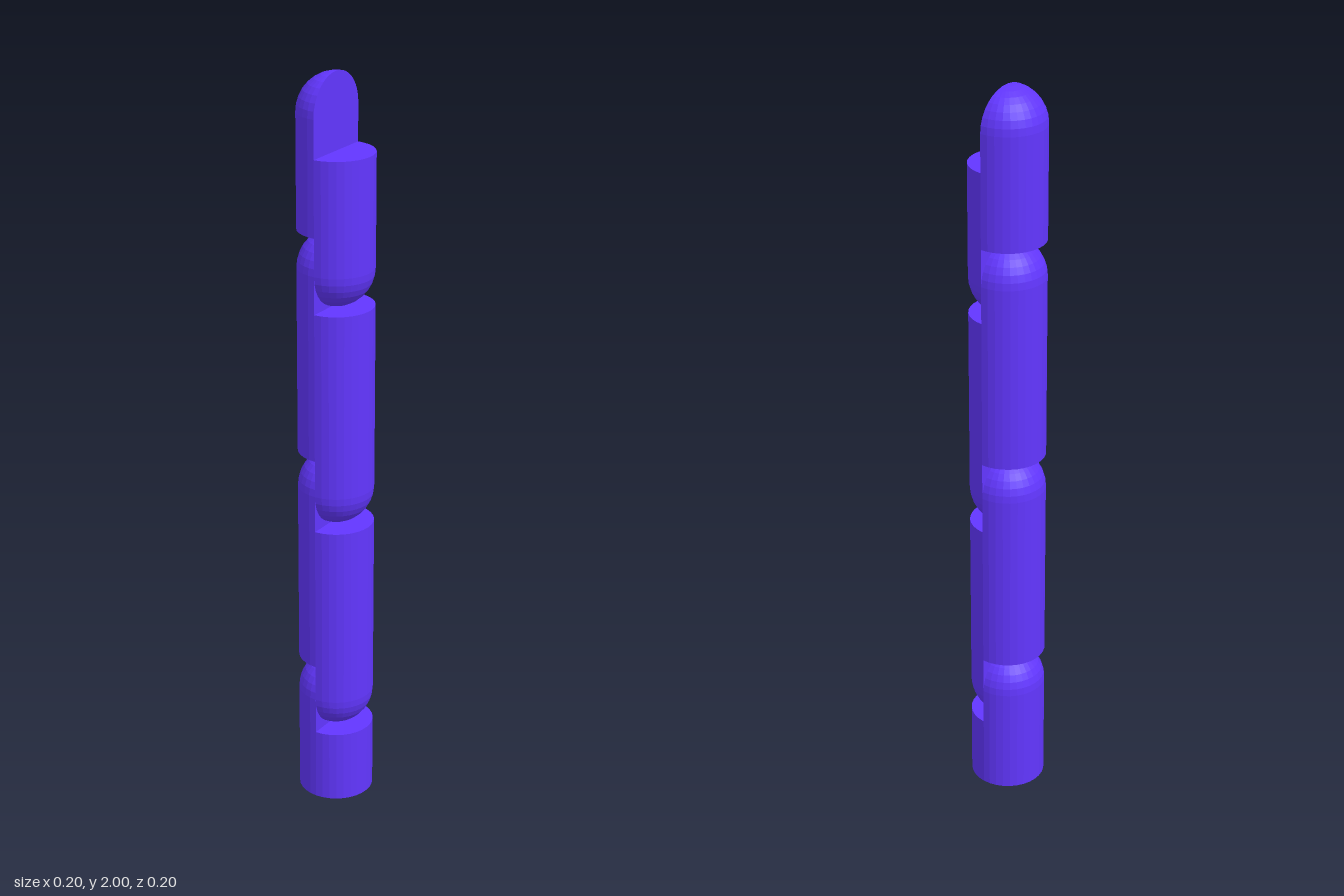
import * as THREE from 'three';
import { mergeGeometries } from 'three/addons/utils/BufferGeometryUtils.js';

const R = 0.1, TAB = 0.2, SIDES = 32;

// Half-round tongue on the -x side: straight half cylinder with a quarter-sphere tip
function tongueGeometry() {
  const profile = [new THREE.Vector2(R, 0)];
  for (let i = 0; i <= 8; i++) {
    const a = (i / 8) * Math.PI / 2;
    profile.push(new THREE.Vector2(R * Math.cos(a), TAB - R + R * Math.sin(a)));
  }
  const round = new THREE.LatheGeometry(profile, SIDES / 2, Math.PI, Math.PI);

  // Flat mating face on x = 0, facing +x
  const outline = new THREE.Shape();
  outline.moveTo(-R, 0);
  outline.lineTo(R, 0);
  outline.lineTo(R, TAB - R);
  outline.absarc(0, TAB - R, R, 0, Math.PI, false);
  const face = new THREE.ShapeGeometry(outline, 16).rotateY(Math.PI / 2);
  return mergeGeometries([round, face]);
}

export function createModel() {
  const model = new THREE.Group();
  model.name = 'linkedRod';
  const material = new THREE.MeshStandardMaterial({ color: 0x6236ff, flatShading: true });
  const tongue = tongueGeometry();

  // Each link: bottom and top of its full round body, and whether a tongue hangs below
  const links = [
    ['baseLink', 0, 0.2, false],
    ['lowerLink', 0.4, 0.8, true],
    ['upperLink', 1.0, 1.4, true],
    ['topLink', 1.6, 1.8, true],
  ];
  for (const [name, bottom, top, hasLower] of links) {
    const link = new THREE.Group();
    link.name = name;

    const body = new THREE.Mesh(new THREE.CylinderGeometry(R, R, top - bottom, SIDES), material);
    body.name = 'body';
    body.position.y = (bottom + top) / 2;
    link.add(body);

    const upper = new THREE.Mesh(tongue, material);
    upper.name = 'upperTongue';
    upper.position.y = top;
    link.add(upper);

    // Lower tongue is the same piece turned half a turn, on the +x side
    if (hasLower) {
      const lower = new THREE.Mesh(tongue, material);
      lower.name = 'lowerTongue';
      lower.position.y = bottom;
      lower.rotation.z = Math.PI;
      link.add(lower);
    }
    model.add(link);
  }
  return model;
}
